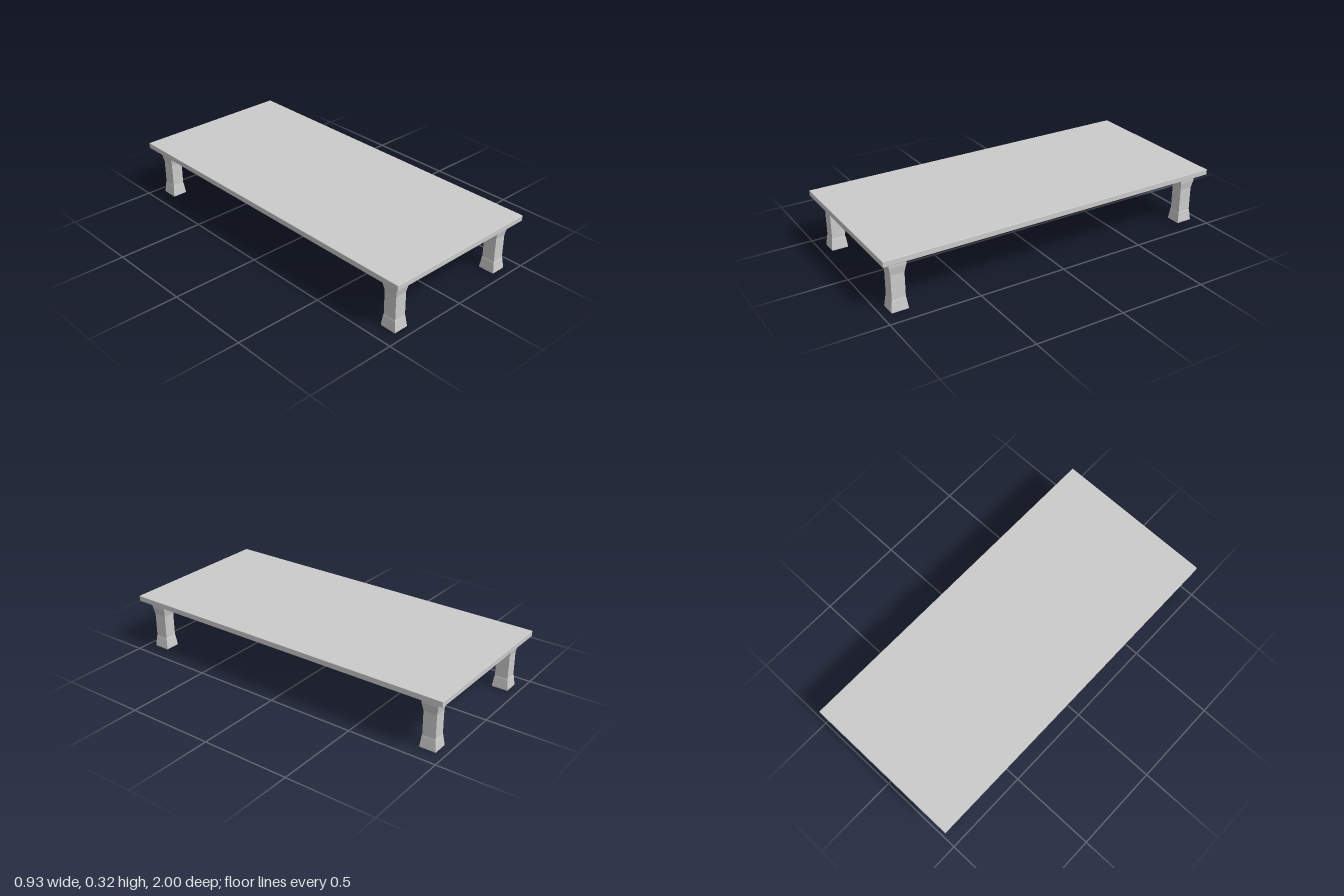
import * as THREE from 'three';
import { RoundedBoxGeometry } from 'three/addons/geometries/RoundedBoxGeometry.js';

export function createModel() {
  const model = new THREE.Group();
  model.name = 'lowTable';
  const smooth = new THREE.MeshStandardMaterial({ color: 0xcccccc });
  const flat = new THREE.MeshStandardMaterial({ color: 0xcccccc, flatShading: true });

  // Thin slab with slightly eased edges
  const bottom = 0.291, top = 0.323;
  const slab = new THREE.Mesh(new RoundedBoxGeometry(0.926, top - bottom, 2, 2, 0.003), smooth);
  slab.name = 'tableTop';
  slab.position.y = (top + bottom) / 2;
  model.add(slab);

  // Square leg, waisted in the middle: [half width, height]
  const profile = [
    [0, 0], [0.041, 0], [0.042, 0.002], [0.042, 0.007], [0.036, 0.06], [0.034, 0.068],
    [0.034, 0.203], [0.035, 0.21], [0.041, 0.243], [0.042, 0.25], [0.042, bottom], [0, bottom],
  ].map(([h, y]) => new THREE.Vector2(h * Math.SQRT2, y));
  const legGeometry = new THREE.LatheGeometry(profile, 4);
  legGeometry.rotateY(Math.PI / 4);
  legGeometry.scale(1, 1, 1.1);

  for (const [side, sx] of [['Left', 1], ['Right', -1]]) {
    for (const [end, sz] of [['front', 1], ['back', -1]]) {
      const leg = new THREE.Mesh(legGeometry, flat);
      leg.name = `${end}${side}Leg`;
      leg.position.set(sx * 0.372, 0, sz * 0.904);
      model.add(leg);
    }
  }
  return model;
}
